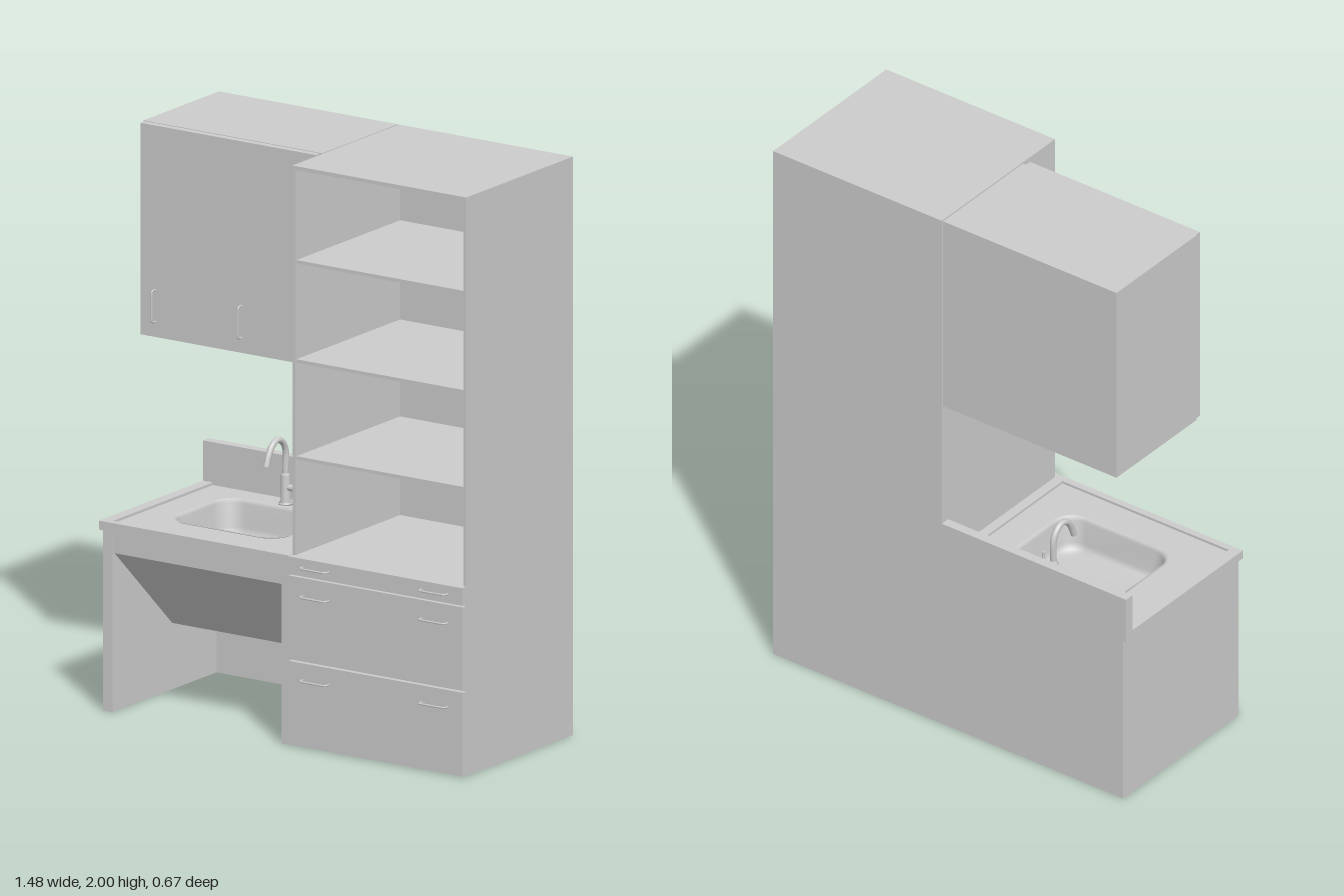
import * as THREE from 'three';

const mat = new THREE.MeshStandardMaterial({ color: 0xcccccc });
const matOpen = new THREE.MeshStandardMaterial({ color: 0xcccccc, side: THREE.DoubleSide });

function add(parent, name, geometry, material = mat) {
  const mesh = new THREE.Mesh(geometry, material);
  mesh.name = name;
  parent.add(mesh);
  return mesh;
}

function group(parent, name) {
  const g = new THREE.Group();
  g.name = name;
  parent.add(g);
  return g;
}

// Box given by its lower and upper limits on each axis
function box(parent, name, x0, x1, y0, y1, z0, z1) {
  const m = add(parent, name, new THREE.BoxGeometry(x1 - x0, y1 - y0, z1 - z0));
  m.position.set((x0 + x1) / 2, (y0 + y1) / 2, (z0 + z1) / 2);
  return m;
}

// Bracket pull: a thin bar bent back to the door at both ends
function pull(parent, name, x, y, z, length, vertical) {
  const h = length / 2, d = 0.022, r = 0.006;
  const pts = [[-h, 0], [-h, d - r], [-h + r, d], [h - r, d], [h, d - r], [h, 0]];
  const path = new THREE.CurvePath();
  const v = pts.map(([a, b]) => new THREE.Vector3(a, 0, b));
  for (let i = 0; i < v.length - 1; i++) path.add(new THREE.LineCurve3(v[i], v[i + 1]));
  const m = add(parent, name, new THREE.TubeGeometry(path, 40, 0.0035, 8, false), matOpen);
  m.position.set(x, y, z);
  if (vertical) m.rotation.z = Math.PI / 2;
}

// Outline points of a rounded rectangle, seen from above
function roundedRect(cx, cz, hx, hz, r, steps = 8) {
  const pts = [];
  [[1, 1], [-1, 1], [-1, -1], [1, -1]].forEach(([sx, sz], q) => {
    for (let i = 0; i <= steps; i++) {
      const a = (q + i / steps) * Math.PI / 2;
      pts.push([cx + sx * (hx - r) + r * Math.cos(a), cz + sz * (hz - r) + r * Math.sin(a)]);
    }
  });
  return pts;
}

// Skin through stacked outlines, closed by a fan at the last one
function basinGeometry(cx, cz, rings) {
  const pos = [], index = [];
  let n = 0;
  for (const [y, hx, hz, r] of rings) {
    const pts = roundedRect(cx, cz, hx, hz, r);
    n = pts.length;
    pts.forEach(([x, z]) => pos.push(x, y, z));
  }
  for (let k = 0; k < rings.length - 1; k++) {
    for (let i = 0; i < n; i++) {
      const a = k * n + i, b = k * n + (i + 1) % n;
      index.push(a, b, a + n, b, b + n, a + n);
    }
  }
  const last = (rings.length - 1) * n, centre = pos.length / 3;
  pos.push(cx, rings[rings.length - 1][0], cz);
  for (let i = 0; i < n; i++) index.push(last + i, last + (i + 1) % n, centre);
  const g = new THREE.BufferGeometry();
  g.setAttribute('position', new THREE.Float32BufferAttribute(pos, 3));
  g.setIndex(index);
  g.computeVertexNormals();
  return g;
}

function tallCabinet(root) {
  const g = group(root, 'tallCabinet');
  box(g, 'baseCarcass', 0.03, 0.735, 0, 0.645, -0.335, 0.29);
  box(g, 'baseTop', 0.03, 0.735, 0.645, 0.655, -0.335, 0.315);
  // Open shelving above the drawers
  box(g, 'sidePanelRight', 0.03, 0.043, 0.655, 2, -0.335, 0.29);
  box(g, 'sidePanelLeft', 0.724, 0.735, 0.655, 2, -0.335, 0.29);
  box(g, 'backPanel', 0.043, 0.724, 0.655, 2, -0.335, -0.322);
  box(g, 'topPanel', 0.043, 0.724, 1.987, 2, -0.322, 0.29);
  for (const y of [0.99, 1.325, 1.668]) box(g, 'shelf', 0.043, 0.724, y - 0.006, y + 0.006, -0.322, 0.285);
  // Drawer fronts with two pulls each
  const drawers = [[0.003, 0.293, 0.235], [0.299, 0.588, 0.525], [0.593, 0.645, 0.625]];
  for (const [y0, y1, yp] of drawers) {
    box(g, 'drawerFront', 0.03, 0.735, y0, y1, 0.29, 0.312);
    for (const x of [0.14, 0.623]) pull(g, 'drawerPull', x, yp, 0.312, 0.105, false);
  }
}

function wallCabinet(root) {
  const g = group(root, 'wallCabinet');
  box(g, 'wallCarcass', -0.7, 0.025, 1.265, 2, -0.335, 0.107);
  box(g, 'wallDoors', -0.695, 0.015, 1.267, 1.998, 0.107, 0.132);
  for (const x of [-0.635, -0.285]) pull(g, 'doorPull', x, 1.375, 0.132, 0.11, true);
}

function sinkUnit(root) {
  const g = group(root, 'sinkUnit');
  const cx = -0.35, cz = -0.02, hx = 0.225, hz = 0.175, r = 0.075;

  // Worktop with the basin cut out
  const top = new THREE.Shape([[-0.74, -0.31], [0.03, -0.31], [0.03, 0.335], [-0.74, 0.335]]
    .map(([x, y]) => new THREE.Vector2(x, y)));
  top.holes.push(new THREE.Path(roundedRect(cx, -cz, hx, hz, r).map(([x, y]) => new THREE.Vector2(x, y))));
  const slab = new THREE.ExtrudeGeometry(top, { depth: 0.022, bevelEnabled: false });
  slab.rotateX(-Math.PI / 2);
  add(g, 'worktop', slab).position.y = 0.625;

  // Raised edge around the worktop and splashback
  box(g, 'frontRim', -0.74, 0.03, 0.647, 0.656, 0.285, 0.31);
  box(g, 'rightRim', -0.74, -0.7, 0.647, 0.656, -0.3, 0.285);
  box(g, 'leftRim', -0.005, 0.03, 0.647, 0.656, -0.3, 0.285);
  box(g, 'splashback', -0.74, 0.03, 0.625, 0.795, -0.335, -0.3);

  // Basin and drain
  add(g, 'basin', basinGeometry(cx, cz, [
    [0.652, hx + 0.01, hz + 0.01, r + 0.01], [0.652, hx, hz, r], [0.64, hx - 0.006, hz - 0.006, r],
    [0.56, hx - 0.016, hz - 0.016, r - 0.005], [0.54, hx - 0.024, hz - 0.024, r - 0.01],
    [0.532, hx - 0.045, hz - 0.045, r - 0.02],
  ]), matOpen);
  add(g, 'drain', new THREE.CylinderGeometry(0.025, 0.025, 0.006, 24)).position.set(cx, 0.534, cz);

  // Supporting panels, with open knee space below
  box(g, 'rightSidePanel', -0.728, -0.69, 0, 0.625, -0.335, 0.303);
  box(g, 'leftSidePanel', -0.005, 0.03, 0, 0.625, -0.335, 0.303);
  box(g, 'backPanel', -0.69, -0.005, 0, 0.625, -0.335, -0.305);
  box(g, 'apron', -0.69, -0.005, 0.55, 0.625, 0.28, 0.3);

  // Sloping cover under the basin
  const cover = add(g, 'kneeCover', new THREE.BoxGeometry(0.685, 0.01, Math.hypot(0.32, 0.34)));
  cover.position.set(-0.3475, 0.393, 0.12);
  cover.rotation.x = -Math.atan2(0.32, 0.34);
}

function faucet(root) {
  const g = group(root, 'faucet');
  g.position.set(-0.365, 0.647, -0.24);
  // Stem, thicker at the foot
  const profile = [[0, 0], [0.024, 0], [0.024, 0.006], [0.017, 0.01], [0.016, 0.1], [0.011, 0.108], [0, 0.108]];
  add(g, 'stem', new THREE.LatheGeometry(profile.map(([x, y]) => new THREE.Vector2(x, y)), 24));
  // Curved spout reaching forward
  const spout = new THREE.CatmullRomCurve3([[0.1, 0], [0.19, 0], [0.22, 0.018], [0.233, 0.045],
    [0.222, 0.075], [0.19, 0.098], [0.155, 0.112]].map(([y, z]) => new THREE.Vector3(0, y, z)));
  add(g, 'spout', new THREE.TubeGeometry(spout, 32, 0.011, 12, false), matOpen);
  // Side lever
  const hub = add(g, 'leverHub', new THREE.CylinderGeometry(0.011, 0.011, 0.05, 16));
  hub.rotation.z = Math.PI / 2;
  hub.position.set(0.025, 0.06, 0);
  const lever = add(g, 'lever', new THREE.CylinderGeometry(0.004, 0.006, 0.075, 12));
  lever.position.set(0.042, 0.09, 0);
}

export function createModel() {
  const root = new THREE.Group();
  root.name = 'kitchenUnit';
  tallCabinet(root);
  wallCabinet(root);
  sinkUnit(root);
  faucet(root);
  return root;
}
